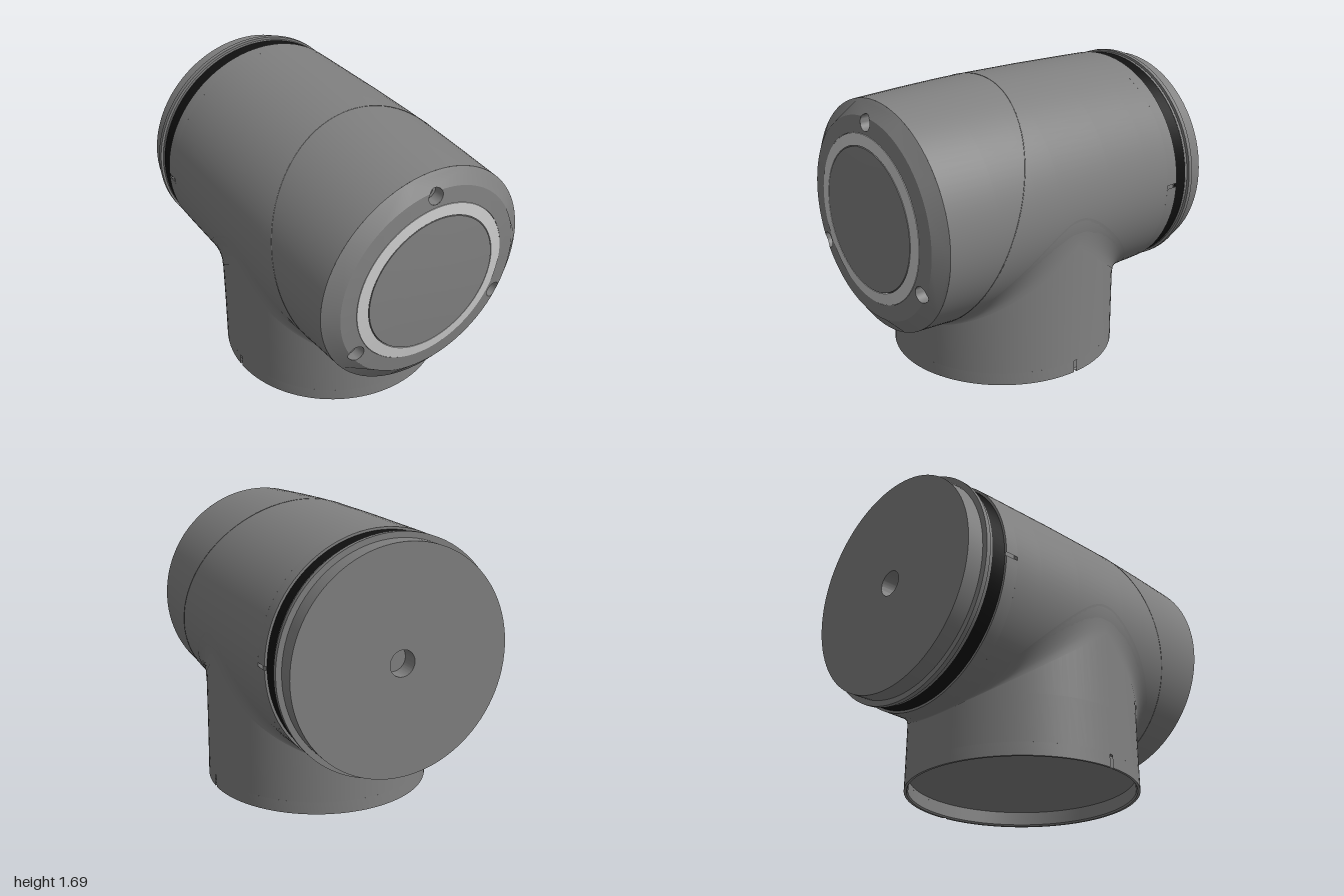
import * as THREE from 'three';
import { toCreasedNormals } from 'three/addons/utils/BufferGeometryUtils.js';

const AXIS_Y = 0.995, STEM_Z = 0.035, STEM_R = 0.68;
const material = (color) => new THREE.MeshStandardMaterial({ color, side: THREE.DoubleSide });
const grey = material(0x808080), light = material(0xcccccc), black = material(0x111111);

// Body outline as [radius, z], front to back
const OUTLINE = [[0.668, 0.91], [0.683, 0.6], [0.692, 0.35], [0.695, 0.18], [0.694, -0.2], [0.689, -0.5], [0.686, -0.68]];
// Front face outline as [radius, z]
const FACE = [[0, 0.98], [0.49, 0.98], [0.585, 0.97], [0.668, 0.91]];

const lerp = THREE.MathUtils.lerp;
function bodyRadius(z) {
  for (let i = 1; i < OUTLINE.length; i++) {
    const [r0, z0] = OUTLINE[i - 1], [r1, z1] = OUTLINE[i];
    if (z >= z1) return lerp(r0, r1, (z0 - z) / (z0 - z1));
  }
  return 0.686;
}
function faceZ(r) {
  for (let i = 1; i < FACE.length; i++) {
    const [r0, z0] = FACE[i - 1], [r1, z1] = FACE[i];
    if (r <= r1) return lerp(z0, z1, (r - r0) / (r1 - r0));
  }
  return 0.91;
}

function add(parent, name, geometry, mat = grey) {
  const mesh = new THREE.Mesh(geometry, mat);
  mesh.name = name;
  parent.add(mesh);
  return mesh;
}
const lathe = (points, segments = 96, start = 0, length = Math.PI * 2) =>
  toCreasedNormals(new THREE.LatheGeometry(points.map(([r, h]) => new THREE.Vector2(r, h)), segments, start, length), 0.4);
// Turned about the z axis
const turned = (points, ...rest) => lathe(points, ...rest).rotateX(Math.PI / 2);

// Screw holes sit on the edge between the face and its chamfer
const HOLE_C = 0.555, HOLE_R = 0.047, EDGE = 0.585;
const holeAngles = [0, 1, 2].map((k) => Math.PI / 2 + k * Math.PI * 2 / 3);
function notchedCircle(path, inward) {
  const d = (EDGE ** 2 + HOLE_C ** 2 - HOLE_R ** 2) / (2 * HOLE_C);
  const half = Math.sqrt(EDGE ** 2 - d ** 2);
  const delta = Math.atan2(half, d), beta = Math.atan2(half, d - HOLE_C);
  for (const a of holeAngles) {
    path.absarc(HOLE_C * Math.cos(a), HOLE_C * Math.sin(a), HOLE_R, a - beta, a + beta, inward);
    path.absarc(0, 0, EDGE, a + delta, a + Math.PI * 2 / 3 - delta, false);
  }
  return path;
}
// Flat ring lifted onto the cone of the front face
function coneRing(shape, slope) {
  const g = new THREE.ShapeGeometry(shape, 40);
  const p = g.attributes.position, n = g.attributes.normal, v = new THREE.Vector3();
  for (let i = 0; i < p.count; i++) {
    const x = p.getX(i), y = p.getY(i), r = Math.hypot(x, y);
    p.setZ(i, faceZ(r));
    v.set(x / r * slope, y / r * slope, 1).normalize();
    n.setXYZ(i, v.x, v.y, v.z);
  }
  return g;
}

// Blend skin between the stem and the body
function blendGeometry() {
  const N = 128, M = 6, pos = [], index = [];
  for (let i = 0; i < N; i++) {
    const a = i / N * Math.PI * 2, c = Math.cos(a), s = Math.sin(a);
    const z = STEM_Z + STEM_R * s, x = STEM_R * c, R = bodyRadius(z);
    const mid = new THREE.Vector3(x, AXIS_Y - Math.sqrt(R * R - x * x), z);
    const low = new THREE.Vector3(x * 1.003, Math.min(0.8 - 0.49 * Math.abs(s), mid.y - 0.008), STEM_Z + STEM_R * 1.003 * s);
    const z2 = z + s * (0.02 + 0.06 * Math.abs(c)), R2 = bodyRadius(z2) + 0.001;
    const t = Math.asin(x / R) + 0.18 * c;
    const high = new THREE.Vector3(R2 * Math.sin(t), AXIS_Y - R2 * Math.cos(t), z2);
    const curve = new THREE.QuadraticBezierCurve3(low, mid, high);
    for (let j = 0; j <= M; j++) pos.push(...curve.getPoint(j / M).toArray());
    for (let j = 0; j < M; j++) {
      const p = i * (M + 1) + j, q = ((i + 1) % N) * (M + 1) + j;
      index.push(p, p + 1, q, q, p + 1, q + 1);
    }
  }
  const g = new THREE.BufferGeometry();
  g.setAttribute('position', new THREE.Float32BufferAttribute(pos, 3));
  g.setIndex(index);
  g.computeVertexNormals();
  return g;
}

export function createModel() {
  const model = new THREE.Group();
  const body = new THREE.Group();
  body.name = 'body';
  body.position.y = AXIS_Y;
  model.add(body);

  // Main barrel, with a slotted rear rim
  add(body, 'barrel', turned(OUTLINE));
  add(body, 'rimLiner', turned([[0.686, -0.68], [0.66, -0.68], [0.66, -0.76]]));
  for (const side of [0, 1]) {
    add(body, 'slottedRim', turned([[0.66, -0.68], [0.686, -0.68], [0.684, -0.76], [0.66, -0.76]],
      48, Math.PI / 2 + 0.015 + side * Math.PI, Math.PI - 0.03));
  }

  // Slanted seam around the barrel
  const seam = [];
  for (let i = 0; i < 64; i++) {
    const a = i / 64 * Math.PI * 2, h = Math.sin(a), z = 0.505 - 0.265 * h - 0.04 * h * h;
    const r = bodyRadius(z) - 0.001;
    seam.push(new THREE.Vector3(r * Math.cos(a), r * h, z));
  }
  add(body, 'seam', new THREE.TubeGeometry(new THREE.CatmullRomCurve3(seam, true), 160, 0.003, 6, true));

  // Front face and chamfer, notched by the screw holes
  const face = notchedCircle(new THREE.Shape(), true);
  face.holes.push(new THREE.Path().absarc(0, 0, 0.49, 0, Math.PI * 2));
  add(body, 'frontFace', coneRing(face, 0.105));
  const chamfer = new THREE.Shape().absarc(0, 0, 0.668, 0, Math.PI * 2);
  chamfer.holes.push(notchedCircle(new THREE.Path(), false));
  add(body, 'frontChamfer', coneRing(chamfer, 0.72));

  for (const a of holeAngles) {
    const g = turned([[HOLE_R, 1], [HOLE_R, 0.91], [0.028, 0.91], [0.028, 0.87], [0, 0.87]], 32);
    g.translate(HOLE_C * Math.cos(a), HOLE_C * Math.sin(a), 0);
    const p = g.attributes.position;
    for (let i = 0; i < p.count; i++) {
      if (p.getZ(i) > 0.95) p.setZ(i, faceZ(Math.hypot(p.getX(i), p.getY(i))));
    }
    add(body, 'screwHole', g);
  }

  // Light ring and slightly domed centre cap
  add(body, 'lightRing', turned([[0.49, 0.972], [0.488, 0.982], [0.42, 0.989], [0.42, 0.975]]), light);
  add(body, 'centreCap', turned([[0.42, 0.975], [0.415, 0.98], [0.415, 0.99], [0.3, 0.995], [0.15, 0.999], [0, 1]]));

  // Rear seal, retaining rings and collar with a blind centre hole
  add(body, 'seal', turned([[0.67, -0.755], [0.67, -0.852]]), black);
  add(body, 'retainingRings', turned([[0.65, -0.85], [0.672, -0.85], [0.672, -0.867], [0.66, -0.867],
    [0.66, -0.874], [0.683, -0.874], [0.683, -0.9], [0.65, -0.9]]));
  add(body, 'rearCollar', turned([[0.65, -0.9], [0.65, -1], [0.075, -1], [0.075, -0.9], [0, -0.9]]));

  // Hollow stem, slotted at its foot
  const stem = new THREE.Group();
  stem.name = 'stem';
  stem.position.z = STEM_Z;
  model.add(stem);
  add(stem, 'stemWall', lathe([[0.661, 0.075], [0.682, 0.075], [STEM_R, 0.35], [STEM_R, 0.87]]));
  add(stem, 'stemFloor', lathe([[0.668, 0], [0.661, 0.01], [0.661, 0.09], [0, 0.09]]));
  for (const side of [0, 1]) {
    add(stem, 'stemFoot', lathe([[0.668, 0], [0.683, 0], [0.682, 0.075], [0.661, 0.075]],
      48, Math.PI / 2 + 0.015 + side * Math.PI, Math.PI - 0.03));
  }
  add(model, 'stemBlend', blendGeometry());
  return model;
}
